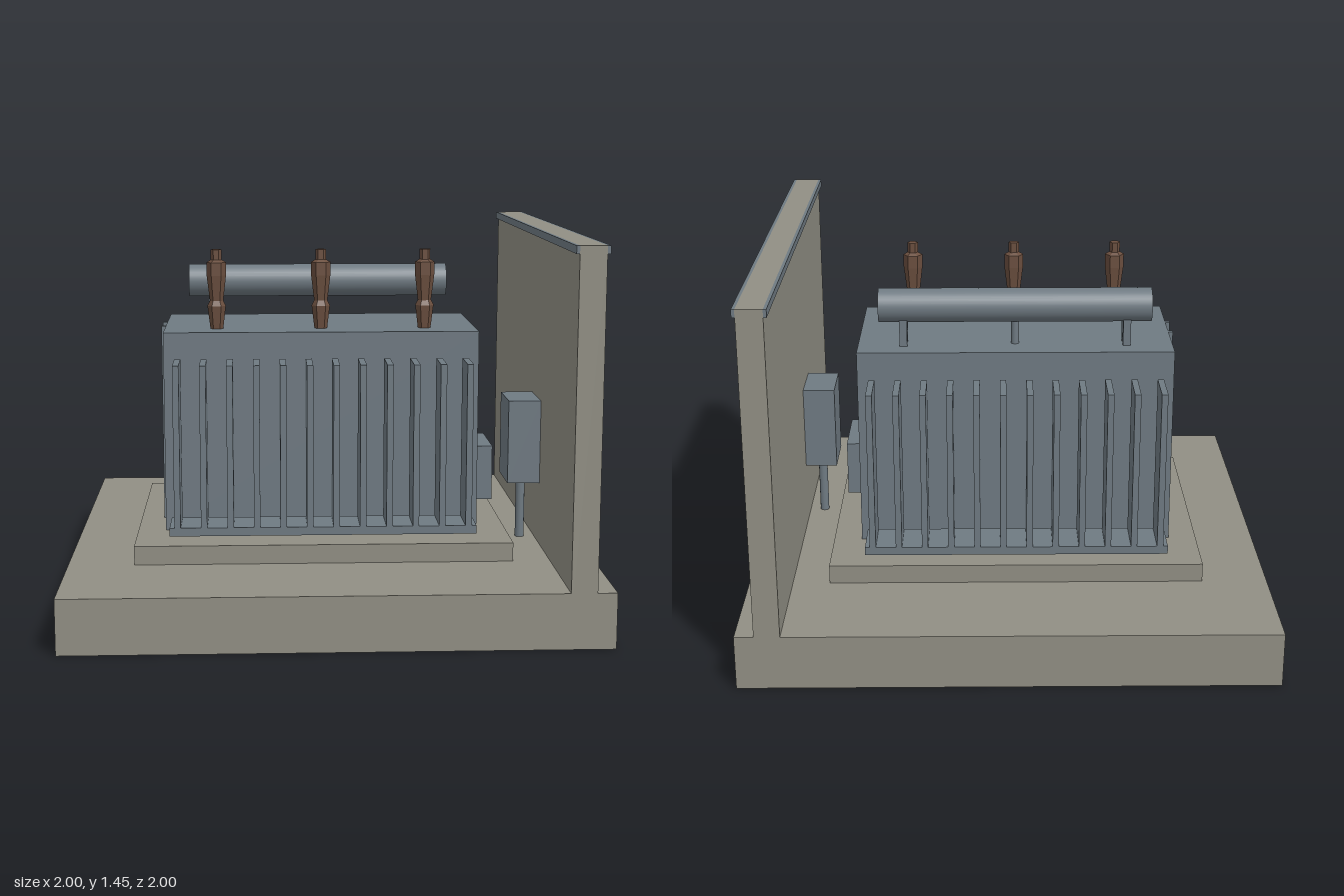
import * as THREE from 'three';

export function createModel() {
  const model = new THREE.Group();
  model.name = 'transformerBay';

  const concrete = new THREE.MeshStandardMaterial({ color: 0x918f84, side: THREE.DoubleSide });
  concrete.name = 'concrete';
  const steel = new THREE.MeshStandardMaterial({ color: 0x6f7a82 });
  steel.name = 'greySteel';
  const porcelain = new THREE.MeshStandardMaterial({ color: 0x6b4f3f, flatShading: true });
  porcelain.name = 'brownPorcelain';

  function add(name, geometry, material, parent = model) {
    const mesh = new THREE.Mesh(geometry, material);
    mesh.name = name;
    parent.add(mesh);
    return mesh;
  }

  // Box given by its limits on each axis
  function boxGeometry(x0, x1, y0, y1, z0, z1) {
    return new THREE.BoxGeometry(x1 - x0, y1 - y0, z1 - z0)
      .translate((x0 + x1) / 2, (y0 + y1) / 2, (z0 + z1) / 2);
  }
  const box = (name, limits, parent) => add(name, boxGeometry(...limits), steel, parent);

  // Concrete shell without its underside
  function shell(name, limits) {
    const geometry = boxGeometry(...limits);
    const index = Array.from(geometry.index.array);
    index.splice(18, 6);
    geometry.setIndex(index);
    geometry.clearGroups();
    return add(name, geometry, concrete);
  }

  function group(name) {
    const g = new THREE.Group();
    g.name = name;
    model.add(g);
    return g;
  }

  // Foundation and fire wall
  shell('foundationSlab', [-1, 1, 0, 0.208, -1, 1]);
  shell('plinth', [-0.75, 0.69, 0.1, 0.28, -0.557, 0.553]);
  shell('fireWall', [0.832, 0.928, 0.1, 1.445, -1, 1]);
  box('wallCapStripInner', [0.82, 0.832, 1.416, 1.445, -1, 1]);
  box('wallCapStripOuter', [0.928, 0.94, 1.416, 1.445, -1, 1]);

  // Main tank
  box('tank', [-0.642, 0.58, 0.28, 1.06, -0.308, 0.302]);
  box('tankControlBox', [0.58, 0.65, 0.375, 0.59, -0.06, 0.22]);

  // Radiator banks in front of and behind the tank
  for (const [name, z0, z1] of [['frontRadiator', 0.342, 0.515], ['backRadiator', -0.52, -0.347]]) {
    const bank = group(name);
    box('radiatorHeader', [-0.617, 0.553, 0.308, 0.34, z0, z1], bank);
    for (let i = 0; i < 12; i++) {
      const x = -0.587 + i * 0.1009;
      box('radiatorFin', [x - 0.012, x + 0.012, 0.34, 0.962, z0, z1], bank);
    }
  }

  // Ladder on the tank end
  const ladder = group('ladder');
  for (const z of [-0.045, 0.08]) {
    box('ladderRail', [-0.66, -0.642, 0.28, 1.06, z - 0.01, z + 0.01], ladder);
  }
  for (let i = 0; i < 5; i++) {
    const y = 0.4 + i * 0.14;
    box('ladderRung', [-0.657, -0.644, y - 0.007, y + 0.007, -0.045, 0.08], ladder);
  }

  // Oil conservator drum and its supports
  const conservator = group('conservator');
  add('conservatorDrum', new THREE.CylinderGeometry(0.066, 0.066, 1.055, 32)
    .rotateZ(Math.PI / 2).translate(-0.03, 1.215, -0.186), steel, conservator);
  for (const x of [-0.463, 0.403]) {
    for (const z of [-0.216, -0.156]) {
      box('conservatorLeg', [x - 0.015, x + 0.015, 1.06, 1.19, z - 0.012, z + 0.012], conservator);
    }
  }
  add('conservatorPipe', new THREE.CylinderGeometry(0.015, 0.015, 0.12, 12)
    .translate(-0.03, 1.11, -0.186), steel, conservator);

  // Three six-sided bushings
  const profile = [[0, 1.06], [0.025, 1.06], [0.036, 1.15], [0.026, 1.17], [0.038, 1.27],
    [0.038, 1.32], [0.021, 1.33], [0.021, 1.37], [0, 1.37]].map(([r, y]) => new THREE.Vector2(r, y));
  const bushing = new THREE.LatheGeometry(profile, 6).rotateY(Math.PI / 6);
  for (const x of [-0.438, -0.03, 0.378]) {
    add('bushing', bushing, porcelain).position.set(x, 0, 0.175);
  }

  // Wall cabinet with its cable conduit
  box('wallCabinet', [0.705, 0.832, 0.45, 0.78, 0.052, 0.274]);
  add('cableConduit', new THREE.CylinderGeometry(0.018, 0.018, 0.244, 12)
    .translate(0.773, 0.329, 0.163), steel);

  return model;
}
